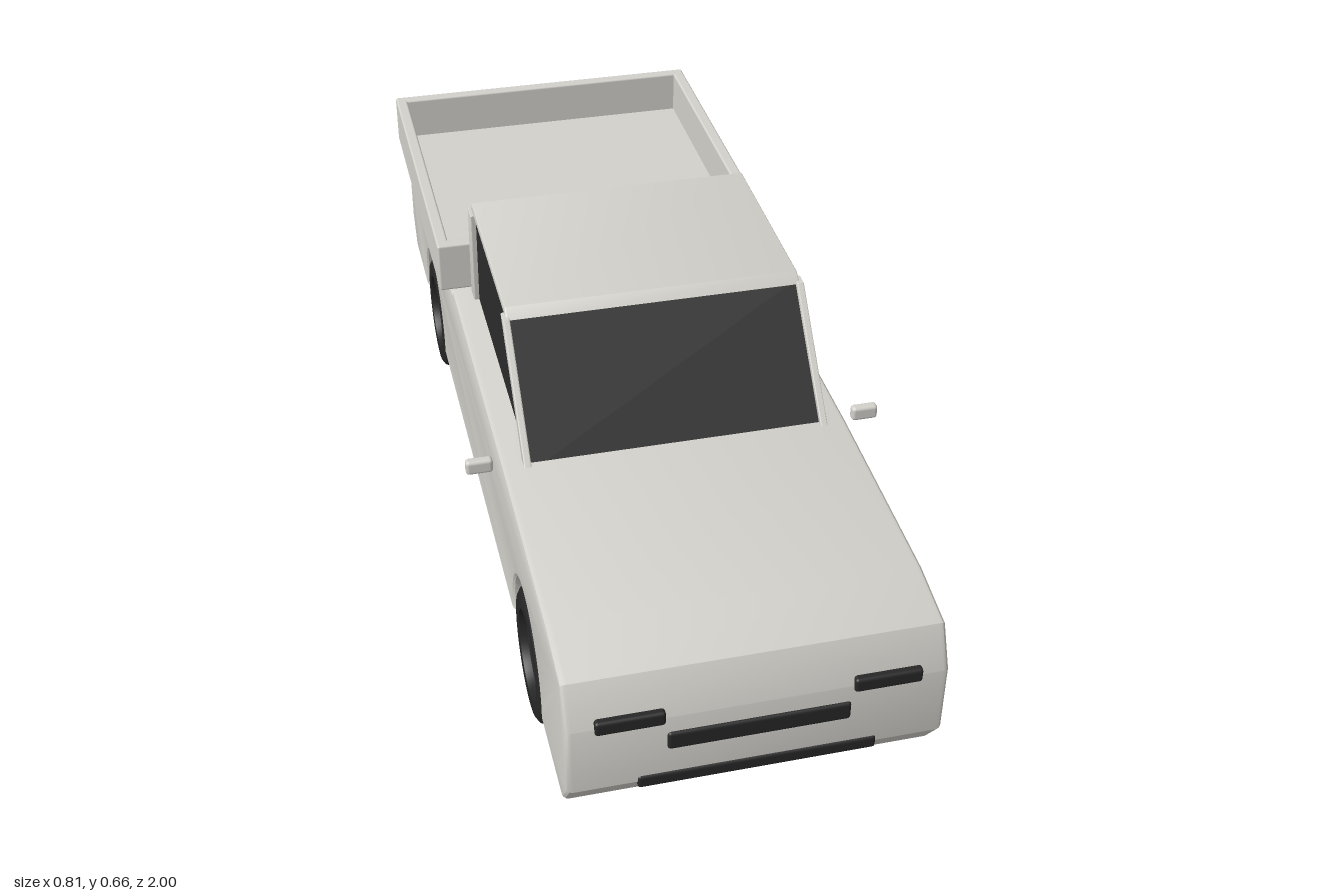
import * as THREE from 'three';
import { toCreasedNormals } from 'three/addons/utils/BufferGeometryUtils.js';
import { RoundedBoxGeometry } from 'three/addons/geometries/RoundedBoxGeometry.js';

export function createModel() {
  const truck = new THREE.Group();
  truck.name = 'pickupTruck';

  const mat = (name, color) => {
    const m = new THREE.MeshStandardMaterial({ color });
    m.name = name;
    return m;
  };
  const paint = mat('bodyPaint', 0xd3d1cb);
  const glass = mat('darkGlass', 0x2b2b2b);
  const rubber = mat('tyreRubber', 0x272727);
  const hubGrey = mat('hubGrey', 0x2e2e2e);

  function add(name, geometry, material, x = 0, y = 0, z = 0, parent = truck) {
    const mesh = new THREE.Mesh(geometry, material);
    mesh.name = name;
    mesh.position.set(x, y, z);
    parent.add(mesh);
    return mesh;
  }
  const box = (w, h, d, r) => new RoundedBoxGeometry(w, h, d, 2, r);

  // Side outline in (z, y), extruded across x and centred
  function sideExtrude(shape, width, bevel) {
    const g = new THREE.ExtrudeGeometry(shape, {
      depth: width - 2 * bevel, curveSegments: 28, bevelEnabled: bevel > 0,
      bevelSize: bevel, bevelThickness: bevel, bevelOffset: -bevel, bevelSegments: 3,
    });
    g.translate(0, 0, -(width - 2 * bevel) / 2);
    g.rotateY(-Math.PI / 2);
    return toCreasedNormals(g, 0.5);
  }
  const outline = (pts) => new THREE.Shape(pts.map(([z, y]) => new THREE.Vector2(z, y)));

  // Lower body with wheel arches cut through the full width
  const axles = [-0.605, 0.605], axleY = 0.14, archR = 0.146, bottom = 0.118;
  const dip = Math.asin((axleY - bottom) / archR);
  const body = new THREE.Shape();
  body.moveTo(-0.95, bottom);
  for (const z of axles) {
    body.lineTo(z - archR * Math.cos(dip), bottom);
    body.absarc(z, axleY, archR, Math.PI + dip, -dip, true);
  }
  for (const [z, y] of [[0.95, 0.115], [0.992, 0.175], [0.992, 0.318], [0.955, 0.396], [0.83, 0.419],
    [0.41, 0.433], [-0.23, 0.433], [-0.25, 0.413], [-0.985, 0.413], [-0.997, 0.35], [-0.997, 0.19]]) {
    body.lineTo(z, y);
  }
  body.closePath();
  add('body', sideExtrude(body, 0.68, 0.012), paint);

  // Dark floor panel and sills under the cab
  add('floorPanel', new THREE.BoxGeometry(0.62, 0.008, 0.62), glass, 0, 0.116, 0.12);

  // Cab glasshouse
  const cab = outline([[-0.218, 0.42], [0.415, 0.42], [0.21, 0.642], [-0.203, 0.648]]);
  add('cabGlass', sideExtrude(cab, 0.576, 0), glass);
  const roof = outline([[-0.208, 0.642], [0.222, 0.638], [0.2, 0.655], [-0.195, 0.661]]);
  add('roof', sideExtrude(roof, 0.584, 0.004), paint);

  // Mirrored cab pillars, sills and door mirrors
  const frontPillar = outline([[0.392, 0.425], [0.424, 0.425], [0.226, 0.642], [0.198, 0.642]]);
  const rearPillar = outline([[-0.224, 0.42], [-0.182, 0.42], [-0.168, 0.645], [-0.207, 0.645]]);
  for (const [side, s] of [['left', 1], ['right', -1]]) {
    add(side + 'FrontPillar', sideExtrude(frontPillar, 0.014, 0.003), paint, s * 0.292);
    add(side + 'RearPillar', sideExtrude(rearPillar, 0.014, 0.003), paint, s * 0.292);
    add(side + 'Sill', box(0.022, 0.02, 0.63, 0.006), paint, s * 0.32, 0.12, 0.125);
    add(side + 'DoorMirror', box(0.052, 0.03, 0.02, 0.007), paint, s * 0.381, 0.434, 0.39);
    add(side + 'Headlight', box(0.123, 0.029, 0.02, 0.006), rubber, s * 0.228, 0.32, 0.988);
  }

  // Open cargo bed: four walls around a flat floor
  const bed = new THREE.Group();
  bed.name = 'cargoBed';
  truck.add(bed);
  const bedZ = -0.624, bedL = 0.724, bedW = 0.724, wall = 0.026, bedH = 0.112, bedY = 0.469;
  add('bedFloor', new THREE.BoxGeometry(bedW - 0.02, 0.014, bedL - 0.02), paint, 0, 0.422, bedZ, bed);
  for (const s of [1, -1]) {
    add('bedSideWall', box(wall, bedH, bedL, 0.005), paint, s * (bedW - wall) / 2, bedY, bedZ, bed);
    add('bedEndWall', box(bedW - 0.01, bedH, wall, 0.005), paint, 0, bedY, bedZ + s * (bedL - wall) / 2, bed);
  }

  // Grille and lower intake
  add('grille', box(0.326, 0.038, 0.02, 0.006), rubber, 0, 0.264, 0.988);
  add('lowerIntake', box(0.43, 0.027, 0.022, 0.006), rubber, 0, 0.174, 0.985);

  // Wheels: lathed tyre ring with a recessed hub
  const tyrePts = [[0.088, -0.045], [0.118, -0.045], [0.129, -0.038], [0.135, -0.022], [0.135, 0.022],
    [0.129, 0.038], [0.118, 0.045], [0.088, 0.045], [0.084, 0.03], [0.084, -0.03], [0.088, -0.045]];
  const tyre = toCreasedNormals(
    new THREE.LatheGeometry(tyrePts.map(([r, y]) => new THREE.Vector2(r, y)), 40).rotateZ(-Math.PI / 2), 0.7);
  const hub = new THREE.CylinderGeometry(0.086, 0.086, 0.06, 40).rotateZ(Math.PI / 2);
  const cap = new THREE.CylinderGeometry(0.03, 0.03, 0.07, 24).rotateZ(Math.PI / 2);
  for (const z of axles) {
    for (const s of [1, -1]) {
      const wheel = new THREE.Group();
      wheel.name = (z > 0 ? 'front' : 'rear') + (s > 0 ? 'Left' : 'Right') + 'Wheel';
      wheel.position.set(s * 0.293, 0.136, z);
      truck.add(wheel);
      add('tyre', tyre, rubber, 0, 0, 0, wheel);
      add('hub', hub, hubGrey, 0, 0, 0, wheel);
      add('hubCap', cap, hubGrey, 0, 0, 0, wheel);
    }
  }
  return truck;
}
